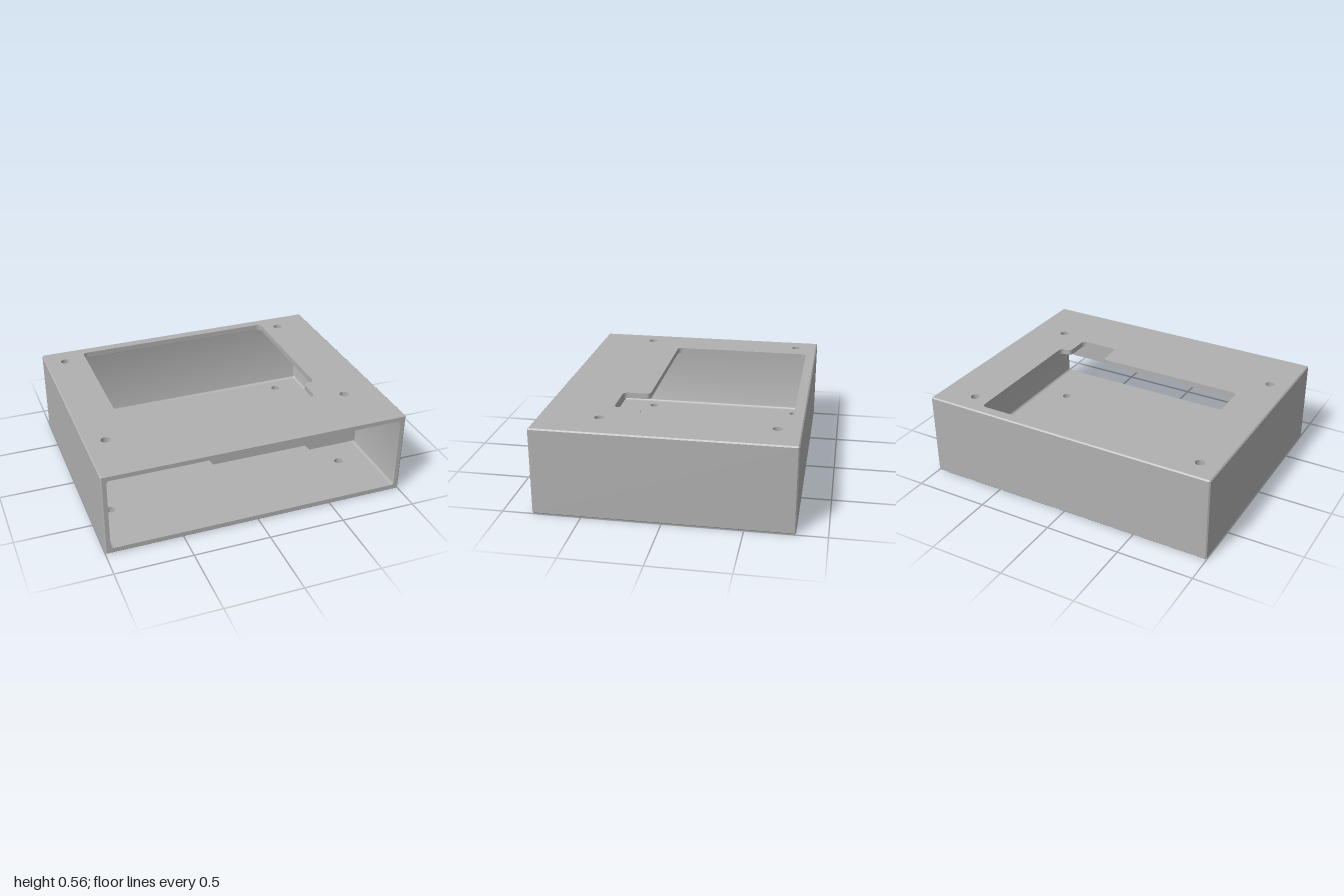
import * as THREE from 'three';
import { toCreasedNormals } from 'three/addons/utils/BufferGeometryUtils.js';

const H = 0.565, Z = 0.81, C = 0.008;             // outer height, half depth, edge chamfer
const IX = 0.965, FLOOR = 0.037, CEIL = 0.528, BACK = -0.772, R = 0.02; // cavity

// Surface through successive rings of points
function loft(rings, flip = false) {
  const n = rings[0].length, pos = rings.flat(2), idx = [];
  for (let i = 0; i < rings.length - 1; i++) {
    for (let j = 0; j < n - 1; j++) {
      const a = i * n + j, b = a + 1, d = a + n, c = d + 1;
      if (flip) idx.push(a, c, b, a, d, c);
      else idx.push(a, b, c, a, c, d);
    }
  }
  const g = new THREE.BufferGeometry();
  g.setAttribute('position', new THREE.Float32BufferAttribute(pos, 3));
  g.setIndex(idx);
  return toCreasedNormals(g, 0.6);
}

// Side and back walls as a U with rounded edges of radius r in n steps
function wallRings(x, zBack, zFront, y0, y1, r, n) {
  const rings = [];
  const uRing = (y, radius) => {
    const side = [[x - r + radius, y, zFront]];
    for (let k = 0; k <= n; k++) {
      const a = (k / n) * Math.PI / 2;
      side.push([x - r + radius * Math.cos(a), y, zBack + r - radius * Math.sin(a)]);
    }
    return [...side, ...side.map(([px, py, pz]) => [-px, py, pz]).reverse()];
  };
  for (let k = 0; k <= n; k++) {
    const a = (k / n) * Math.PI / 2;
    rings.push(uRing(y0 + r - r * Math.cos(a), r * Math.sin(a)));
  }
  for (let k = n; k >= 0; k--) {
    const a = (k / n) * Math.PI / 2;
    rings.push(uRing(y1 - r + r * Math.cos(a), r * Math.sin(a)));
  }
  return rings;
}

// Closed outline with rounded corners
function roundedOutline(corners, r) {
  const s = new THREE.Shape(), pts = corners.map(c => new THREE.Vector2(...c));
  pts.forEach((p, i) => {
    const prev = pts[(i + pts.length - 1) % pts.length], next = pts[(i + 1) % pts.length];
    const a = prev.clone().sub(p).setLength(r).add(p), b = next.clone().sub(p).setLength(r).add(p);
    if (i) s.lineTo(a.x, a.y); else s.moveTo(a.x, a.y);
    s.quadraticCurveTo(p.x, p.y, b.x, b.y);
  });
  s.closePath();
  return s.getPoints(8);
}

// Horizontal sheet with holes, outline given in x and z
function sheet(x, z0, z1, y, holes, up) {
  const s = new THREE.Shape([[-x, z0], [x, z0], [x, z1], [-x, z1]].map(p => new THREE.Vector2(...p)));
  s.holes = holes.map(h => new THREE.Path(h));
  const g = new THREE.ShapeGeometry(s);
  g.rotateX(Math.PI / 2);
  g.translate(0, y, 0);
  if (up) {
    g.index.array.reverse();
    g.computeVertexNormals();
  }
  return g;
}

export function createModel() {
  const group = new THREE.Group();
  const grey = new THREE.MeshStandardMaterial({ color: 0xb0b0b0 });
  grey.name = 'grey';
  const add = (name, geometry) => {
    const m = new THREE.Mesh(geometry, grey);
    m.name = name;
    group.add(m);
  };

  // Screw holes and the notched window
  const screwHoles = [];
  for (const x of [-0.866, 0.752]) for (const z of [-0.662, 0.43]) {
    screwHoles.push(new THREE.Path().absarc(x, z, 0.03, 0, Math.PI * 2, false).getPoints(32));
  }
  const windowHole = roundedOutline([[-0.72, -0.74], [0.64, -0.74], [0.64, 0.207], [0.562, 0.207],
    [0.562, 0.385], [0.294, 0.385], [0.294, 0.207], [-0.72, 0.207]], 0.035);
  const topHoles = [...screwHoles, windowHole];

  // Outer and inner walls
  const outer = wallRings(1, -Z, Z - C, 0, H, C, 1);
  const inner = wallRings(IX, BACK, Z, FLOOR, CEIL, R, 5);
  add('outerWalls', loft(outer));
  add('cavityWalls', loft(inner, true));
  const backPlane = (x, y0, y1, z, back) => {
    const g = new THREE.PlaneGeometry(2 * x, y1 - y0);
    if (back) g.rotateY(Math.PI);
    return g.translate(0, (y0 + y1) / 2, z);
  };
  add('backFace', backPlane(1 - C, C, H - C, -Z, true));

  // Top and bottom plates
  add('topFace', sheet(1 - C, -Z + C, Z - C, H, topHoles, true));
  add('ceiling', sheet(IX - R, BACK + R, Z, CEIL, topHoles, false));
  add('floor', sheet(IX - R, BACK + R, Z, FLOOR, screwHoles, true));
  add('bottomFace', sheet(1 - C, -Z + C, Z - C, 0, screwHoles, false));
  const bore = (loop, y0, y1) => loft([y0, y1].map(y => loop.map(p => [p.x, y, p.y])));
  topHoles.forEach(h => add(h === windowHole ? 'windowEdge' : 'topScrewHole', bore(h, CEIL, H)));
  screwHoles.forEach(h => add('bottomScrewHole', bore(h, 0, FLOOR)));

  // Chamfered front rim
  const rimLoop = (z, full) => {
    const x = 1 - C, y0 = C, y1 = H - C, e = full ? C : 0;
    const p = [[x, y0 - e], [x + e, y0], [x + e, y1], [x, y1 + e],
      [-x, y1 + e], [-x - e, y1], [-x - e, y0], [-x, y0 - e], [x, y0 - e]];
    return p.map(([a, b]) => [a, b, z]);
  };
  add('frontChamfer', loft([rimLoop(Z - C, true), rimLoop(Z, false)]));
  const rim = new THREE.Shape([[-1 + C, C], [1 - C, C], [1 - C, H - C], [-1 + C, H - C]]
    .map(p => new THREE.Vector2(...p)));
  const mouth = inner.map(r => new THREE.Vector2(r[0][0], r[0][1]));
  rim.holes.push(new THREE.Path([...mouth, ...mouth.map(p => new THREE.Vector2(-p.x, p.y)).reverse()]));
  add('frontRim', new THREE.ShapeGeometry(rim).translate(0, 0, Z));

  // Stepped block hanging from the ceiling
  const block = new THREE.Shape([[-0.68, CEIL + 0.01], [-0.68, 0.498], [-0.322, 0.498], [-0.283, 0.45],
    [0.325, 0.45], [0.36, 0.413], [0.675, 0.413], [0.675, CEIL + 0.01]].map(p => new THREE.Vector2(...p)));
  add('steppedBlock', new THREE.ExtrudeGeometry(block, { depth: 0.33, bevelEnabled: false }).translate(0, 0, 0.42));

  return group;
}
